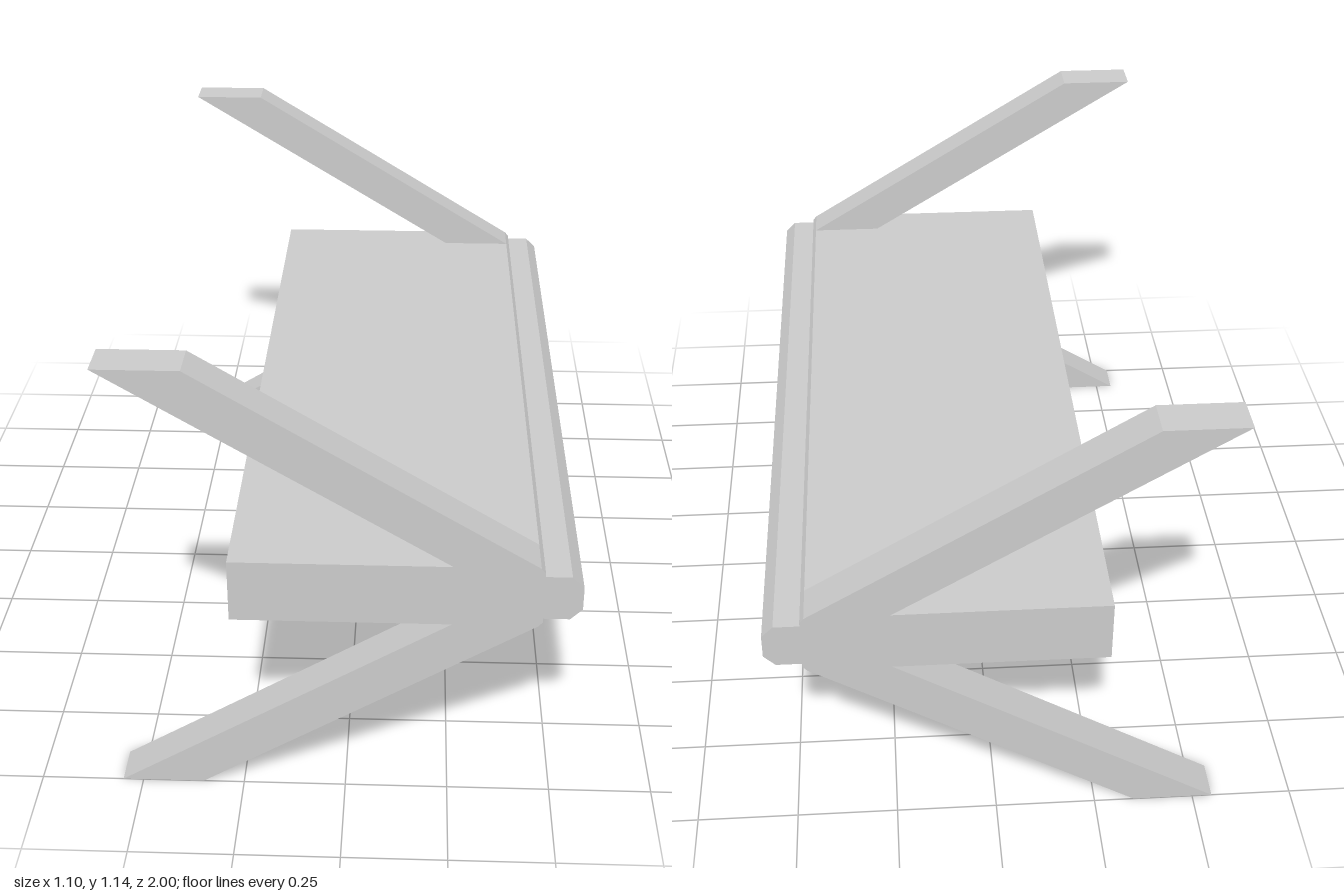
import * as THREE from 'three';

const MID = 0.57; // height of the horizontal symmetry plane

// Extrudes an outline of [x, y] points (y relative to MID) from z0 to z1
function prism(name, points, z0, z1, material) {
  const shape = new THREE.Shape(points.map(([x, y]) => new THREE.Vector2(x, y + MID)));
  const geometry = new THREE.ExtrudeGeometry(shape, { depth: z1 - z0, bevelEnabled: false });
  geometry.translate(0, 0, z0);
  const mesh = new THREE.Mesh(geometry, material);
  mesh.name = name;
  return mesh;
}

const flip = (points) => points.map(([x, y]) => [x, -y]).reverse();

export function createModel() {
  const group = new THREE.Group();
  group.name = 'bracedPanel';
  const material = new THREE.MeshStandardMaterial({ color: 0xcccccc, flatShading: true });

  // Thick panel, with a small chamfer where it meets the rail
  const panelTop = [[0.46, 0.068], [0.45, 0.08], [-0.27, 0.08]];
  group.add(prism('panel', [...panelTop, ...flip(panelTop)], -1, 1, material));

  // Narrower edge rail with chamfered outer corners
  const railTop = [[0.55, 0.03], [0.522, 0.058], [0.46, 0.058]];
  group.add(prism('edgeRail', [...railTop, ...flip(railTop)], -1, 1, material));

  // Slanted struts at both ends, above and below the panel
  const strut = [[0.45, 0.08], [-0.35, 0.57], [-0.55, 0.57], [0.25, 0.08]];
  for (const z of [-1, 0.9]) {
    group.add(prism('upperStrut', strut, z, z + 0.1, material));
    group.add(prism('lowerStrut', flip(strut), z, z + 0.1, material));
  }
  return group;
}
